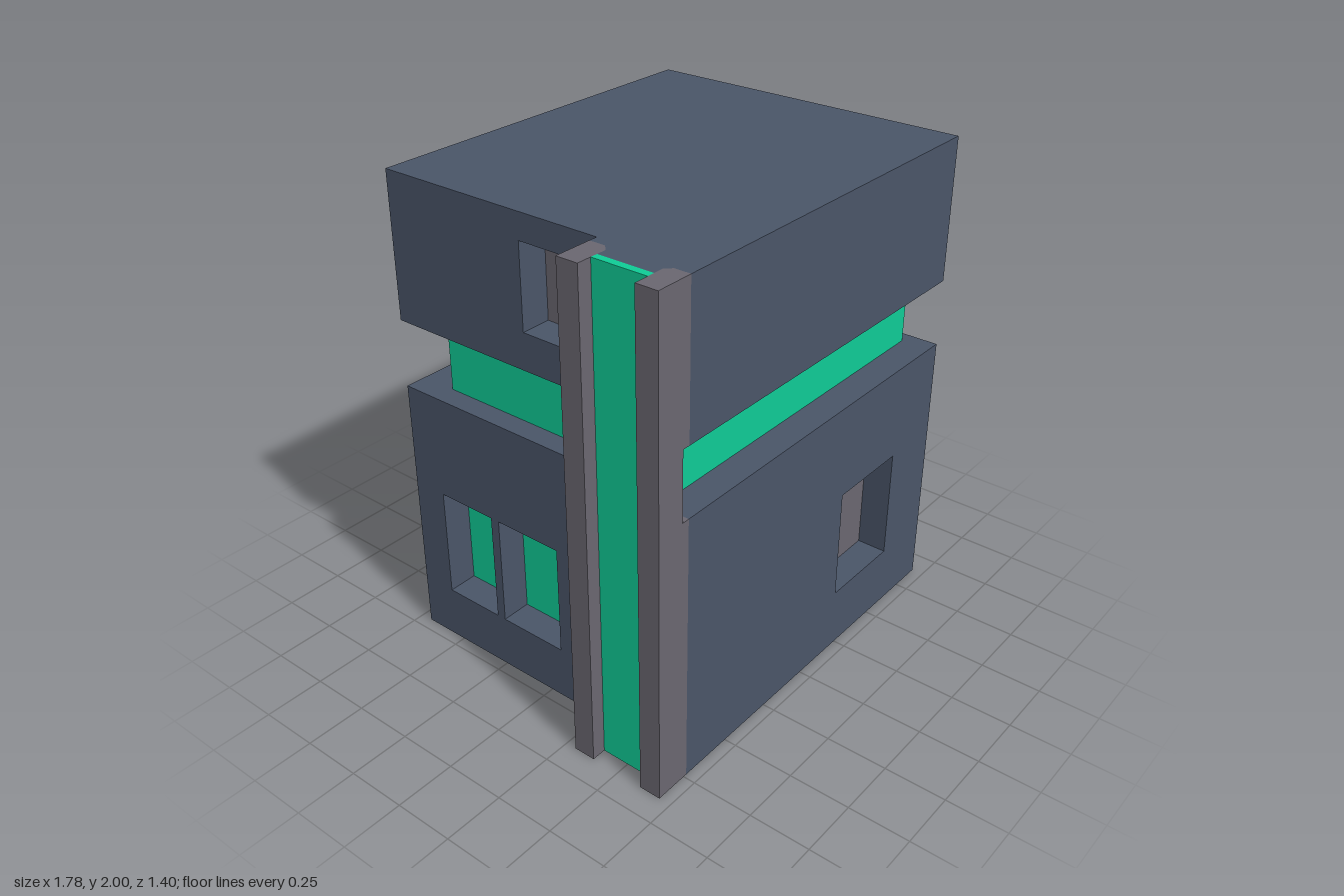
import * as THREE from 'three';

const mat = (name, color) => {
  const m = new THREE.MeshStandardMaterial({ color });
  m.name = name;
  return m;
};

export function createModel() {
  const root = new THREE.Group();
  const slate = mat('slate wall', 0x4a5568);
  const green = mat('green glass', 0x0fcc96);
  const taupe = mat('taupe trim', 0x6a6770);
  const WALL = 0.13; // depth of the window recesses
  const X0 = -0.7, X1 = 0.89, Z0 = -0.7, Z1 = 0.7;

  const add = (name, geometry, material, parent = root) => {
    const mesh = new THREE.Mesh(geometry, material);
    mesh.name = name;
    parent.add(mesh);
    return mesh;
  };

  // Box given by its limits on each axis
  const box = (name, material, [xa, xb], [ya, yb], [za, zb], parent) => add(name,
    new THREE.BoxGeometry(xb - xa, yb - ya, zb - za)
      .translate((xa + xb) / 2, (ya + yb) / 2, (za + zb) / 2), material, parent);

  // Upright prism over a footprint of [x, z] points
  const prism = (name, material, points, ya, yb, parent) => {
    const shape = new THREE.Shape(points.map(([x, z]) => new THREE.Vector2(x, -z)));
    const geo = new THREE.ExtrudeGeometry(shape, { depth: yb - ya, bevelEnabled: false });
    add(name, geo.rotateX(-Math.PI / 2).translate(0, ya, 0), material, parent);
  };

  // Wall slab with rectangular openings [u0, u1, v0, v1]
  const wallGeometry = (u0, u1, v0, v1, holes) => {
    const rect = (a, b, c, d) => [[a, c], [b, c], [b, d], [a, d]].map(p => new THREE.Vector2(...p));
    const shape = new THREE.Shape(rect(u0, u1, v0, v1));
    holes.forEach(h => shape.holes.push(new THREE.Path(rect(...h).reverse())));
    return new THREE.ExtrudeGeometry(shape, { depth: WALL, bevelEnabled: false });
  };

  // A storey: solid core, pierced front and side walls, panes and tower backing
  const storey = (name, ya, yb, frontHoles, sideHoles, sidePane) => {
    const g = new THREE.Group();
    g.name = name;
    root.add(g);
    const xi = X0 + WALL, zi = Z1 - WALL, t = 0.005;
    box('core', slate, [xi, X1], [ya, yb], [Z0, zi], g);
    add('frontWall', wallGeometry(xi, X1, ya, yb, frontHoles).translate(0, 0, zi), slate, g);
    add('sideWall', wallGeometry(Z0, Z1, ya, yb, sideHoles)
      .rotateY(-Math.PI / 2).translate(xi, 0, 0), slate, g);
    frontHoles.forEach(([a, b, c, d]) =>
      box('frontWindowPane', taupe, [a, b], [c, d], [zi, zi + t], g));
    sideHoles.forEach(([a, b, c, d]) =>
      box('sideWindowPane', sidePane, [xi - t, xi], [c, d], [a, b], g));

    // Tower backing, fitted around the chamfered pillars
    prism('towerBacking', slate, [
      [X0, 0.295], [X0, 0.7], [-0.735, 0.7], [-0.735, 0.635], [-0.76, 0.61], [-0.8, 0.61],
      [-0.8, 0.385], [-0.76, 0.385], [-0.735, 0.36], [-0.735, 0.295]], ya, yb, g);
    prism('frontPillar', taupe, [[-0.89, 0.7], [-0.735, 0.7], [-0.735, 0.635],
      [-0.76, 0.61], [-0.89, 0.61]], ya, yb, g);
    prism('rearPillar', taupe, [[-0.89, 0.295], [-0.735, 0.295], [-0.735, 0.36],
      [-0.76, 0.385], [-0.89, 0.385]], ya, yb, g);
  };

  storey('lowerStorey', 0, 1.125, [[0.235, 0.61, 0.255, 0.725]],
    [[-0.55, -0.285, 0.225, 0.69], [-0.245, 0.055, 0.225, 0.69]], green);
  storey('upperStorey', 1.405, 2, [], [[-0.055, 0.245, 1.555, 1.895]], taupe);

  // Recessed glazed band between the storeys
  const band = [1.125, 1.405];
  box('glassBand', green, [-0.61, 0.83], band, [-0.545, 0.575]);

  // Tower where it passes the band
  for (const [name, z] of [['rearPillarLink', [0.295, 0.385]], ['frontPillarLink', [0.61, 0.7]]])
    box(name, taupe, [-0.89, -0.767], band, z);
  box('towerBackingLink', slate, [-0.8, -0.767], band, [0.385, 0.61]);
  box('towerInnerFace', slate, [-0.767, -0.764], band, [0.32, 0.675]);

  // Tall glass strip between the pillars
  box('towerGlass', green, [-0.83, -0.8], [0, 2], [0.385, 0.61]);

  return root;
}
